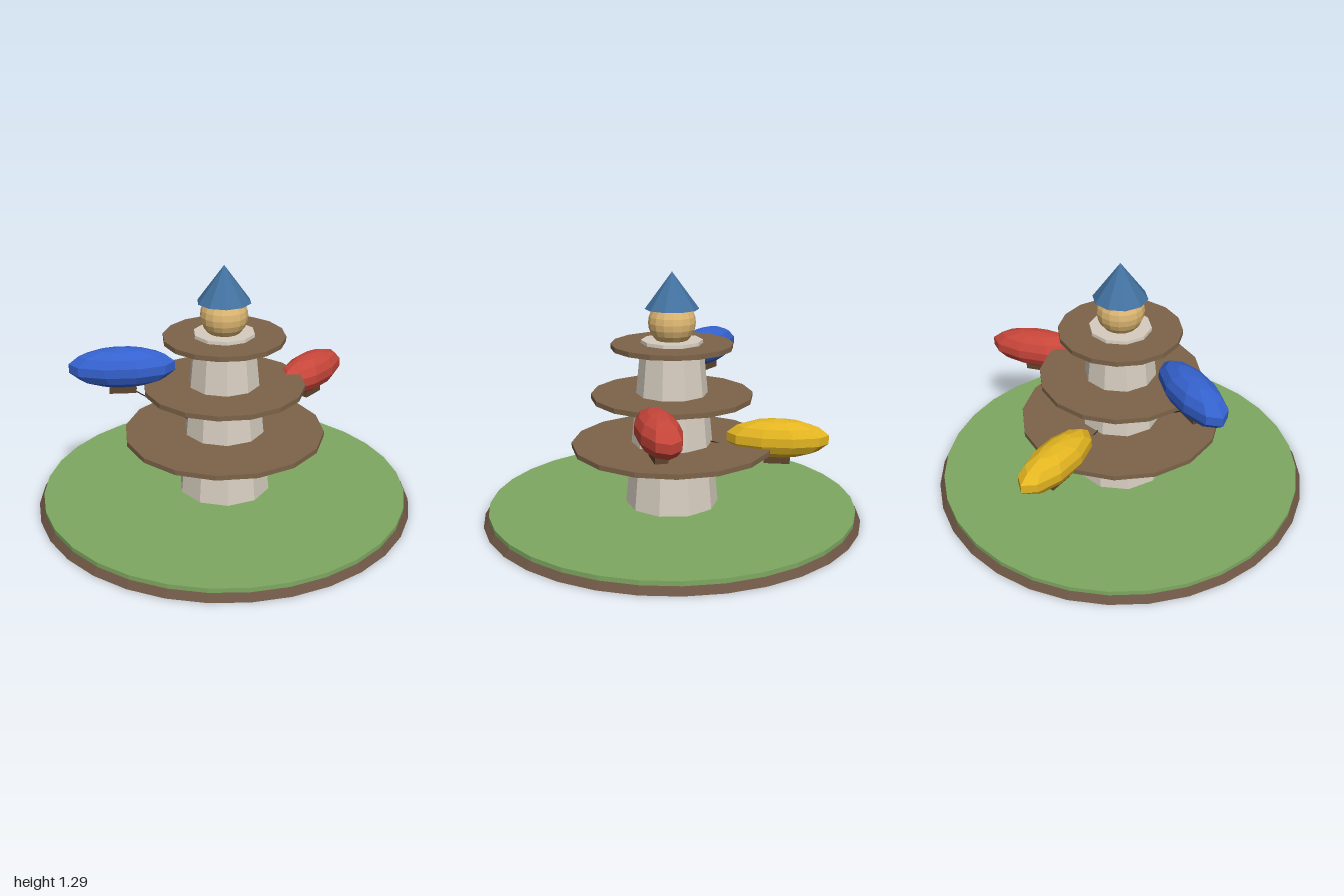
import * as THREE from 'three';

const mat = (color) => new THREE.MeshStandardMaterial({ color, flatShading: true });

export function createModel() {
  const model = new THREE.Group();
  const wood = mat(0x7d6449), soil = mat(0x6b5443), cabinWood = mat(0x5e452d), ropeMat = mat(0x2a2522);

  function add(parent, name, geometry, material, x = 0, y = 0, z = 0) {
    const mesh = new THREE.Mesh(geometry, material);
    mesh.name = name;
    mesh.position.set(x, y, z);
    parent.add(mesh);
    return mesh;
  }

  // Round ground: bevelled soil with a grass layer
  add(model, 'soil', new THREE.CylinderGeometry(0.97, 1, 0.036, 32), soil, 0, 0.018);
  add(model, 'grass', new THREE.CylinderGeometry(0.972, 0.972, 0.024, 32), mat(0x7fa862), 0, 0.047);

  // Tapered ten-sided tower
  add(model, 'tower', new THREE.CylinderGeometry(0.16, 0.247, 0.885, 10), mat(0xd6cdbf), 0, 0.4975);

  // Docking platforms, smaller towards the top
  [[0.53, 0.38], [0.423, 0.645], [0.317, 0.91]].forEach(([r, y], i) =>
    add(model, 'platform' + (i + 1), new THREE.CylinderGeometry(r, r, 0.026, 16), wood, 0, y));

  // Lantern ball and pointed roof
  add(model, 'lantern', new THREE.SphereGeometry(0.123, 16, 12), mat(0xdfb873), 0, 1.03);
  add(model, 'roof', new THREE.ConeGeometry(0.14, 0.19, 10), mat(0x42719f), 0, 1.195);

  // Thin mooring rope between two points
  function rope(from, to) {
    const dir = to.clone().sub(from);
    const mesh = add(model, 'mooringRope', new THREE.CylinderGeometry(0.003, 0.003, dir.length(), 5), ropeMat);
    mesh.position.copy(from).addScaledVector(dir, 0.5);
    mesh.quaternion.setFromUnitVectors(new THREE.Vector3(0, 1, 0), dir.normalize());
  }

  // Airships: colour, position, heading in degrees, rope height at the tower
  const ships = [
    ['redAirship', 0xc8463a, [0.545, 0.607, 0.09], 10.8, 0.425],
    ['blueAirship', 0x3562cf, [-0.487, 0.807, -0.217], -36, 0.475],
    ['yellowAirship', 0xe3b521, [0.09, 0.43, -0.547], 80.5, 0.4],
  ];
  for (const [name, color, pos, heading, ropeY] of ships) {
    const ship = new THREE.Group();
    ship.name = name;
    ship.position.set(...pos);
    ship.rotation.y = THREE.MathUtils.degToRad(heading);
    const hull = new THREE.SphereGeometry(1, 10, 7).scale(0.272, 0.103, 0.107);
    add(ship, 'balloon', hull, mat(color));
    add(ship, 'cabin', new THREE.BoxGeometry(0.135, 0.045, 0.064), cabinWood, 0, -0.109);
    model.add(ship);

    const end = new THREE.Vector3(pos[0], pos[1] - 0.095, pos[2]);
    const start = new THREE.Vector3(pos[0], 0, pos[2]).setLength(0.2);
    start.y = ropeY;
    rope(start, end);
  }
  return model;
}
